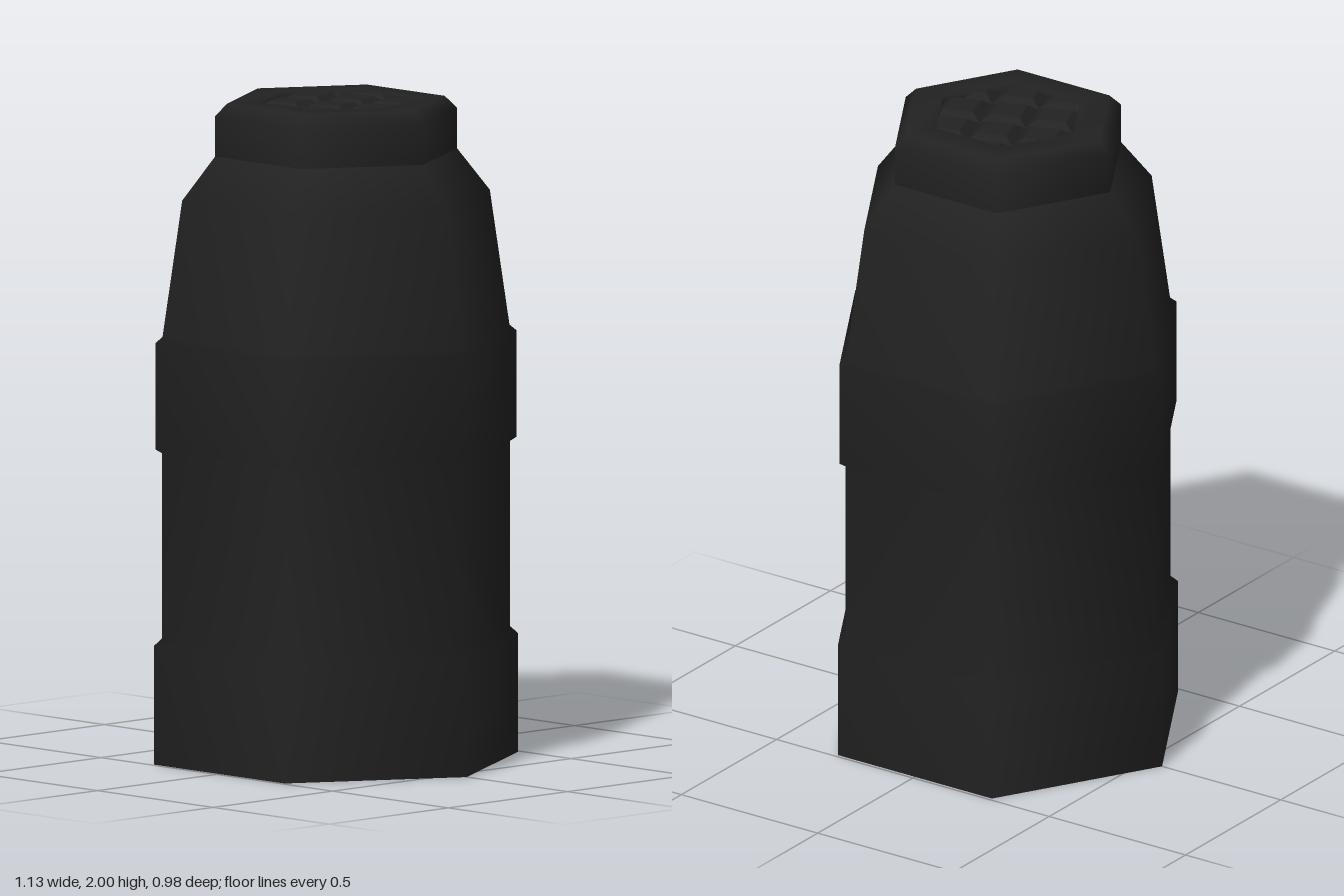
import * as THREE from 'three';

const SIDES = 6;

// Hexagonal shell from a profile of [radius, height], with corners on the x axis
function hexShell(profile, material, name) {
  const points = profile.map(([r, y]) => new THREE.Vector2(r, y));
  const mesh = new THREE.Mesh(new THREE.LatheGeometry(points, SIDES, Math.PI / 2), material);
  mesh.name = name;
  return mesh;
}

// Trim a polygon of [x, y, z] points to a hexagon seen from above
function clipToHexagon(polygon, apothem) {
  for (let k = 0; k < SIDES; k++) {
    const a = Math.PI / 6 + (k * Math.PI) / 3;
    const inside = (p) => apothem - p[0] * Math.cos(a) - p[2] * Math.sin(a);
    const kept = [];
    polygon.forEach((p, i) => {
      const q = polygon[(i + 1) % polygon.length];
      const dp = inside(p), dq = inside(q);
      if (dp >= 0) kept.push(p);
      if (dp * dq < 0) kept.push(p.map((v, n) => v + (q[n] - v) * (dp / (dp - dq))));
    });
    polygon = kept;
  }
  return polygon;
}

// Grid of flat-topped pyramids filling a hexagon
function waffleGeometry(radius, low, high) {
  const pitch = 0.145, half = 0.5, flat = 0.31;
  const angle = THREE.MathUtils.degToRad(19), c = Math.cos(angle), s = Math.sin(angle);
  const positions = [];
  const place = (u, v, y) => [
    -0.068 + pitch * (u * c + v * s), y, -0.005 + pitch * (v * c - u * s),
  ];
  const corners = [[-1, -1], [-1, 1], [1, 1], [1, -1]];
  for (let i = -3; i <= 4; i++) {
    for (let j = -3; j <= 4; j++) {
      const ring = (size, y) =>
        corners.map(([u, v]) => place(i + 0.5 + u * size, j + 0.5 + v * size, y));
      const base = ring(half, low), top = ring(flat, high);
      const faces = [top];
      for (let k = 0; k < 4; k++) {
        const n = (k + 1) % 4;
        faces.push([base[k], base[n], top[n], top[k]]);
      }
      for (const face of faces) {
        const p = clipToHexagon(face, radius * Math.cos(Math.PI / 6));
        for (let k = 1; k + 1 < p.length; k++) positions.push(...p[0], ...p[k], ...p[k + 1]);
      }
    }
  }
  const geometry = new THREE.BufferGeometry();
  geometry.setAttribute('position', new THREE.Float32BufferAttribute(positions, 3));
  geometry.computeVertexNormals();
  return geometry;
}

export function createModel() {
  const group = new THREE.Group();
  group.name = 'hexagonalGrip';
  const black = new THREE.MeshStandardMaterial({ color: 0x222222 });
  black.name = 'matte black';

  // Body: wide foot, waist, raised band and tapering shoulder
  group.add(hexShell([
    [0.565, 0], [0.565, 0.36], [0.54, 0.382],
    [0.54, 0.945], [0.56, 0.957], [0.56, 1.28], [0.538, 1.298],
    [0.477, 1.71], [0.375, 1.84],
  ], black, 'body'));

  // Underside
  const underside = new THREE.Mesh(new THREE.CircleGeometry(0.565, SIDES), black);
  underside.name = 'underside';
  underside.rotation.x = Math.PI / 2;
  group.add(underside);

  // Chamfered collar with a shallow recess
  group.add(hexShell([
    [0.375, 1.84], [0.375, 1.963], [0.337, 2], [0.24, 2], [0.24, 1.972],
  ], black, 'collar'));

  // Textured face in the recess
  const face = new THREE.Mesh(waffleGeometry(0.24, 1.974, 1.996), black);
  face.name = 'waffleFace';
  group.add(face);

  return group;
}
